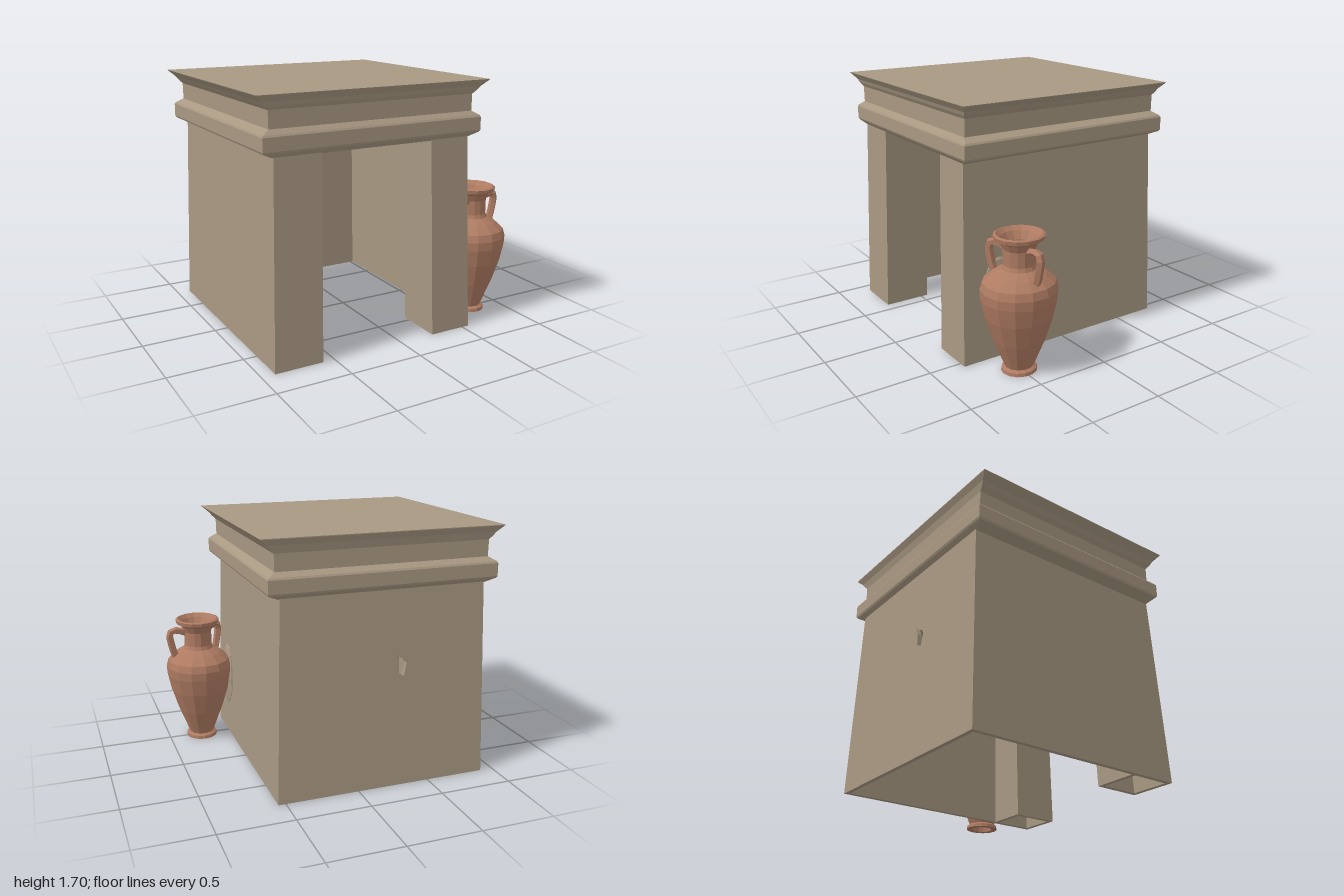
import * as THREE from 'three';

const stone = new THREE.MeshStandardMaterial({ color: 0xa89882, flatShading: true, side: THREE.DoubleSide });
const clay = new THREE.MeshStandardMaterial({ color: 0xae7b62, flatShading: true, side: THREE.DoubleSide });
const CX = -0.18; // middle of the building
const WALL_H = 1.33;

function add(parent, name, geometry, material) {
  const mesh = new THREE.Mesh(geometry, material);
  mesh.name = name;
  parent.add(mesh);
  return mesh;
}

const points = (list) => list.map(([x, y]) => new THREE.Vector2(x, y));

// Walls lean inward as they rise
function batter(geometry) {
  const p = geometry.attributes.position;
  for (let i = 0; i < p.count; i++) {
    const s = 1 - 0.052 * (p.getY(i) / WALL_H);
    p.setX(i, CX + (p.getX(i) - CX) * s);
    p.setZ(i, p.getZ(i) * s);
  }
  geometry.computeVertexNormals();
  return geometry;
}

// Thin side wall with a hollow pillar at its front, drawn as a floor plan
function sideWall(outer, inner) {
  const d = Math.sign(inner - outer) * 0.03;
  const front = 0.78, pillarBack = 0.45, back = -0.79;
  const plan = new THREE.Shape(points([
    [outer, -front], [inner, -front], [inner, -pillarBack],
    [outer + d, -pillarBack], [outer + d, -back], [outer, -back],
  ]));
  plan.holes.push(new THREE.Path(points([
    [outer + d, -front + 0.03], [inner - d, -front + 0.03],
    [inner - d, -pillarBack - 0.03], [outer + d, -pillarBack - 0.03],
  ])));
  const g = new THREE.ExtrudeGeometry(plan, { depth: WALL_H, bevelEnabled: false });
  return batter(g.rotateX(-Math.PI / 2));
}

// Back wall with a small broken hole
function backWall() {
  const face = new THREE.Shape(points([[-0.88, 0], [0.52, 0], [0.52, WALL_H], [-0.88, WALL_H]]));
  face.holes.push(new THREE.Path(points([
    [-0.335, 0.845], [-0.315, 0.87], [-0.28, 0.885], [-0.245, 0.91],
    [-0.265, 0.86], [-0.27, 0.78], [-0.315, 0.755],
  ])));
  const g = new THREE.ExtrudeGeometry(face, { depth: 0.03, bevelEnabled: false });
  return batter(g.translate(0, 0, -0.79));
}

// Stack of rectangles [y, half width, front z, back z], closed at both ends
function moulding(rows) {
  const pos = [], idx = [];
  for (const [y, w, f, b] of rows) {
    pos.push(CX - w, y, f, CX + w, y, f, CX + w, y, b, CX - w, y, b);
  }
  for (let r = 0; r < rows.length - 1; r++) {
    for (let k = 0; k < 4; k++) {
      const a = r * 4 + k, b = r * 4 + (k + 1) % 4;
      idx.push(a, b, b + 4, a, b + 4, a + 4);
    }
  }
  const t = (rows.length - 1) * 4;
  idx.push(0, 2, 1, 0, 3, 2, t, t + 1, t + 2, t, t + 2, t + 3);
  const g = new THREE.BufferGeometry();
  g.setAttribute('position', new THREE.Float32BufferAttribute(pos, 3));
  g.setIndex(idx);
  const flat = g.toNonIndexed();
  flat.computeVertexNormals();
  return flat;
}

function buildVase() {
  const vase = new THREE.Group();
  vase.name = 'vase';
  // Outside from foot to rim, then down the inside to the open foot
  const profile = points([
    [0.075, 0], [0.118, 0], [0.115, 0.022], [0.095, 0.035], [0.125, 0.11], [0.17, 0.22],
    [0.222, 0.38], [0.247, 0.5], [0.25, 0.56], [0.235, 0.61], [0.175, 0.66], [0.115, 0.695],
    [0.104, 0.72], [0.104, 0.82], [0.125, 0.865], [0.162, 0.885], [0.166, 0.91], [0.15, 0.917],
    [0.12, 0.89], [0.09, 0.84], [0.09, 0.7], [0.2, 0.6], [0.225, 0.5], [0.15, 0.22],
    [0.075, 0.04], [0.075, 0],
  ]);
  add(vase, 'vaseBody', new THREE.LatheGeometry(profile, 14), clay).scale.x = 0.95;

  // Two angular handles from neck to shoulder
  const path = new THREE.CatmullRomCurve3([
    [0.095, 0.815], [0.15, 0.835], [0.195, 0.83], [0.208, 0.79], [0.188, 0.69], [0.165, 0.62],
  ].map(([x, y]) => new THREE.Vector3(x, y, 0)), false, 'catmullrom', 0.3);
  [['rightHandle', 0.05], ['leftHandle', Math.PI + 0.55]].forEach(([name, turn]) => {
    add(vase, name, new THREE.TubeGeometry(path, 9, 0.027, 5), clay).rotation.y = turn;
  });
  vase.position.set(0.76, 0, 0.5);
  return vase;
}

export function createModel() {
  const model = new THREE.Group();
  model.name = 'shrineWithVase';

  const building = new THREE.Group();
  building.name = 'building';
  model.add(building);
  add(building, 'rightWallAndPillar', sideWall(-0.91, -0.58), stone);
  add(building, 'leftWallAndPillar', sideWall(0.55, 0.25), stone);
  add(building, 'backWall', backWall(), stone);

  // Lintel band, plain frieze and flared cornice with a flat roof
  add(building, 'entablature', moulding([
    [1.32, 0.69, 0.735, -0.74], [1.352, 0.765, 0.765, -0.775], [1.365, 0.772, 0.772, -0.782],
    [1.45, 0.772, 0.772, -0.782], [1.462, 0.765, 0.765, -0.775], [1.49, 0.718, 0.738, -0.738],
    [1.6, 0.72, 0.738, -0.738], [1.625, 0.745, 0.755, -0.745], [1.65, 0.765, 0.765, -0.752],
    [1.69, 0.81, 0.797, -0.775], [1.695, 0.813, 0.8, -0.775],
  ]), stone);

  // Worn swelling of the wall behind the vase
  const bulge = add(building, 'wallBulge', new THREE.SphereGeometry(1, 10, 8), stone);
  bulge.scale.set(0.03, 0.24, 0.13);
  bulge.position.set(0.535, 0.45, 0.5);

  model.add(buildVase());
  return model;
}
